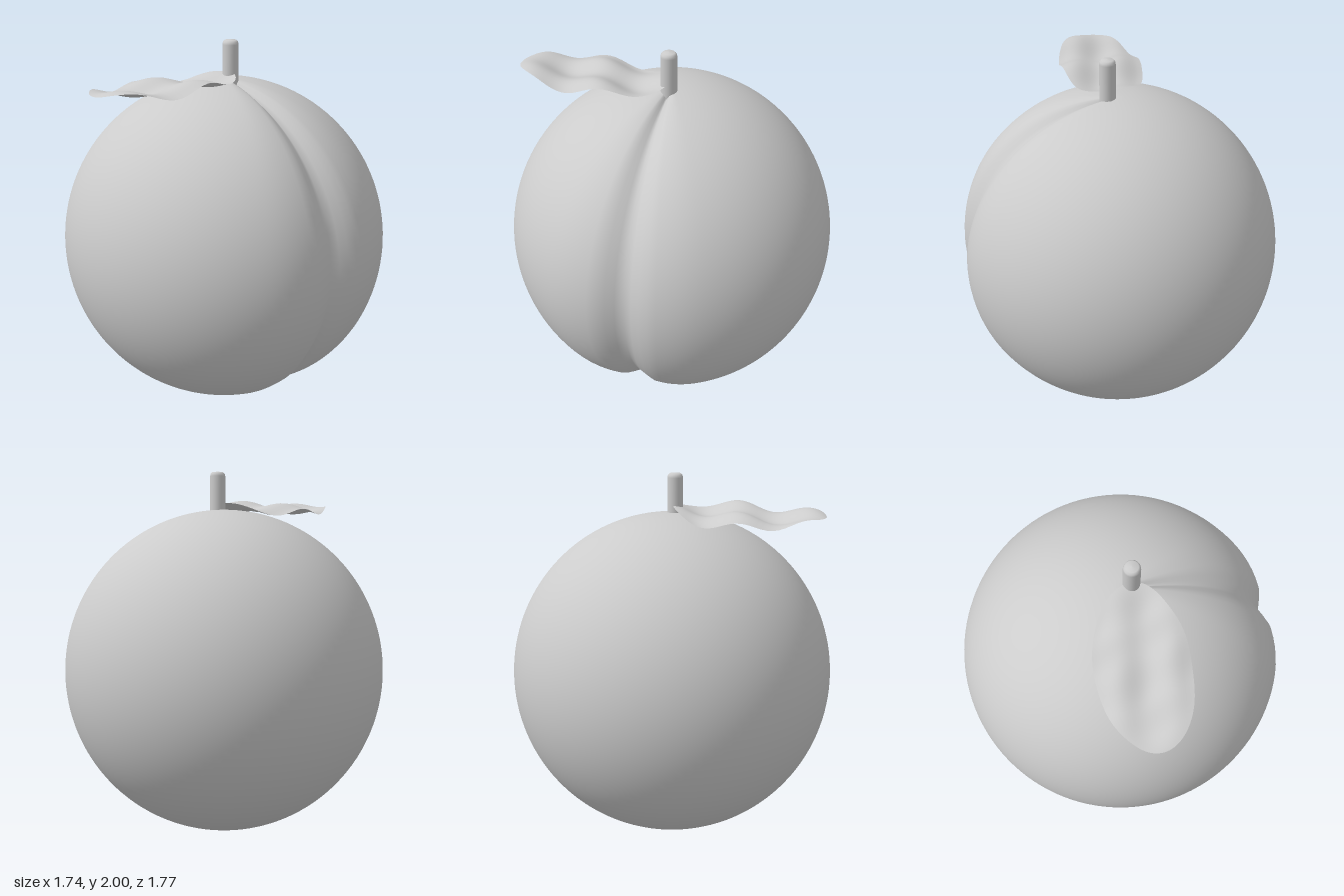
import * as THREE from 'three';
import { mergeVertices } from 'three/addons/utils/BufferGeometryUtils.js';

const material = new THREE.MeshStandardMaterial({ color: 0xcccccc, roughness: 0.8 });
const leafMaterial = new THREE.MeshStandardMaterial({ color: 0xcccccc, roughness: 0.8, side: THREE.DoubleSide });

// Depth of the crease for an angle away from +x: a V with softened shoulders
function creaseDepth(angle) {
  const step = Math.PI / 20, a = Math.abs(angle) / step;
  if (a < 1) return THREE.MathUtils.lerp(0.083, 0.022, a);
  if (a < 3) return 0.022 * ((3 - a) / 2) ** 2;
  return 0;
}

// Round fruit with one crease running from pole to pole on the +x side
function fruitGeometry() {
  let geo = new THREE.SphereGeometry(0.887, 120, 72);
  geo.deleteAttribute('uv');
  geo.deleteAttribute('normal');
  geo = mergeVertices(geo, 1e-5);
  const p = geo.attributes.position, v = new THREE.Vector3();
  for (let i = 0; i < p.count; i++) {
    v.fromBufferAttribute(p, i);
    const ring = Math.hypot(v.x, v.z) / 0.887;
    if (ring > 1e-4) {
      const depth = creaseDepth(Math.atan2(v.z, v.x)) * Math.sqrt(ring);
      v.multiplyScalar(1 - depth / 0.887);
    }
    p.setXYZ(i, v.x, v.y * 1.01, v.z);
  }
  geo.computeVertexNormals();
  return geo;
}

// Thin oval leaf, rippled along its length and tilted across its width
function leafGeometry() {
  const geo = new THREE.PlaneGeometry(2, 2, 20, 40);
  const p = geo.attributes.position;
  for (let i = 0; i < p.count; i++) {
    const u = p.getX(i);
    const t = (1 - p.getY(i)) / 2 * Math.PI;
    const z = 0.41 * (1 - Math.cos(t));
    const x = 0.025 + 0.225 * Math.sin(t) * u + 0.035 * (1 - z / 0.82) ** 4;
    const ripple = 0.022 * Math.cos((z - 0.75 + 0.25 * (x - 0.02)) * 2 * Math.PI / 0.38);
    const curl = 0.012 * Math.cos(x * 26 + z * 5) * Math.sin(t);
    p.setXYZ(i, x, 1.806 + ripple + curl + 0.07 * (x - 0.02), z);
  }
  geo.computeVertexNormals();
  return geo;
}

// Short stalk with a slightly rounded top
function stemGeometry() {
  const profile = [[0.042, 1.74], [0.042, 1.975], [0.039, 1.988], [0.03, 1.997], [0, 2]];
  return new THREE.LatheGeometry(profile.map(([r, y]) => new THREE.Vector2(r, y)), 24);
}

export function createModel() {
  const model = new THREE.Group();
  const add = (name, geometry, mat, x = 0, y = 0) => {
    const mesh = new THREE.Mesh(geometry, mat);
    mesh.name = name;
    mesh.position.set(x, y, 0);
    model.add(mesh);
  };
  add('fruit', fruitGeometry(), material, 0.015, 0.896);
  add('stem', stemGeometry(), material, 0.065);
  add('leaf', leafGeometry(), leafMaterial);
  return model;
}
